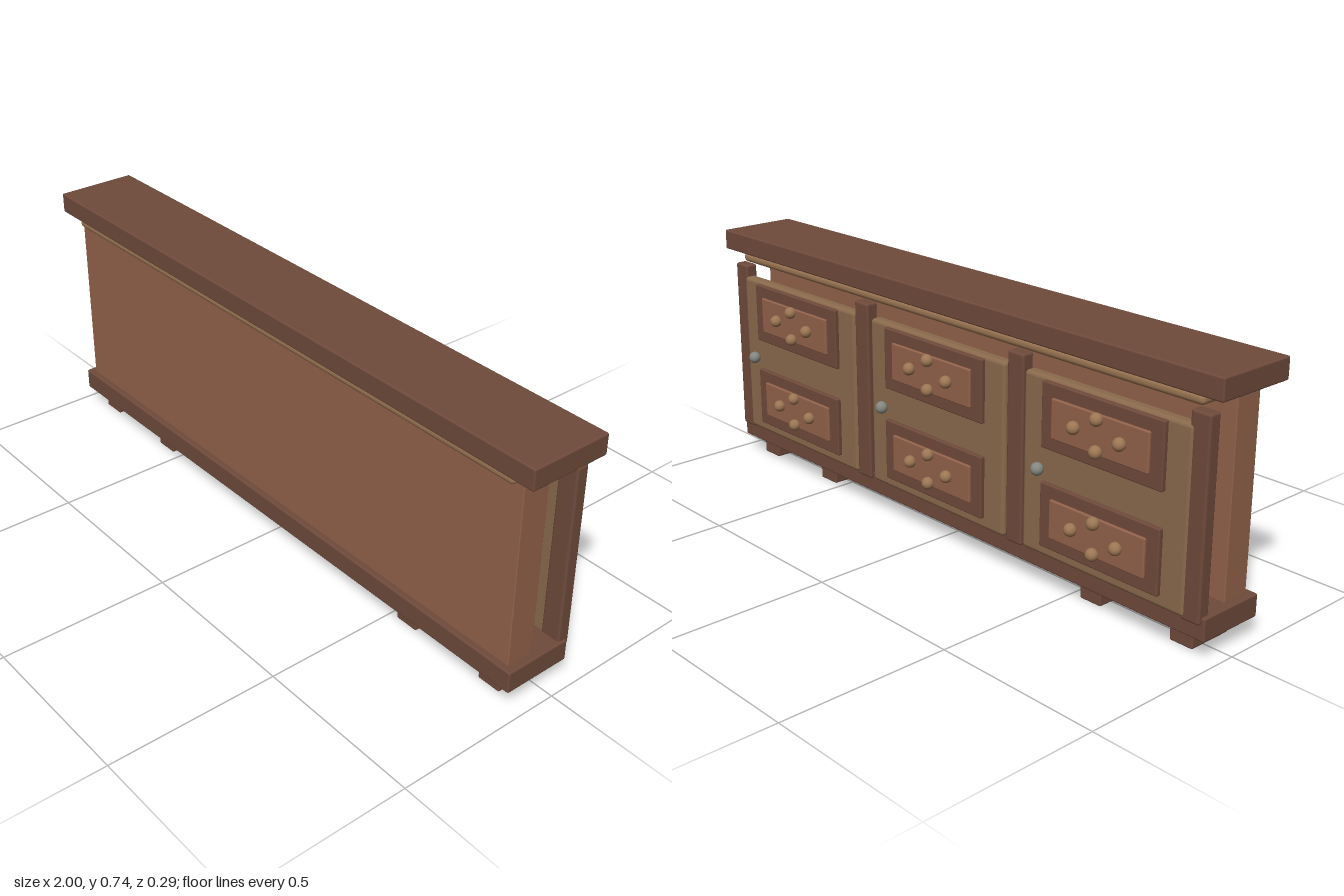
import * as THREE from 'three';
import { RoundedBoxGeometry } from 'three/addons/geometries/RoundedBoxGeometry.js';

const mat = (color) => new THREE.MeshStandardMaterial({ color });

export function createModel() {
  const model = new THREE.Group();
  model.name = 'counter';
  const dark = mat(0x6f4a3b), wood = mat(0x93624b), tan = mat(0x8a6a4c);
  const light = mat(0x9c7653), metal = mat(0x868680);

  // Box with softened edges, given by its extents on each axis
  function block(name, material, [x0, x1], [y0, y1], [z0, z1], radius = 0.005, parent = model) {
    const geometry = new RoundedBoxGeometry(x1 - x0, y1 - y0, z1 - z0, 3, radius);
    const mesh = new THREE.Mesh(geometry, material);
    mesh.position.set((x0 + x1) / 2, (y0 + y1) / 2, (z0 + z1) / 2);
    mesh.name = name;
    parent.add(mesh);
  }

  const knobGeometry = new THREE.SphereGeometry(0.018, 20, 14);
  function knob(name, material, x, y, z, parent) {
    const mesh = new THREE.Mesh(knobGeometry, material);
    mesh.position.set(x, y, z);
    mesh.name = name;
    parent.add(mesh);
  }

  // Carcass: top, moulding, front board and plinth
  block('counterTop', dark, [-1, 1], [0.683, 0.744], [-0.1, 0.147]);
  block('moulding', light, [-0.932, 0.926], [0.652, 0.683], [-0.085, 0.133], 0.014);
  block('frontBoard', wood, [-0.948, 0.942], [0.1, 0.677], [0.025, 0.11], 0.003);
  block('plinth', dark, [-0.972, 0.966], [0.055, 0.12], [-0.08, 0.128]);

  // Feet
  for (const x of [-0.876, -0.568, 0.562, 0.87]) {
    block('foot', dark, [x - 0.037, x + 0.037], [0, 0.06], [-0.047, 0.095]);
  }

  // Posts between and beside the doors
  for (const x of [-0.932, -0.32, 0.322, 0.93]) {
    block('post', dark, [x - 0.03, x + 0.03], [0.1, 0.643], [-0.091, -0.053], 0.007);
  }

  // Doors on the back, each with two raised panels
  for (const x of [-0.637, -0.005, 0.63]) {
    const door = new THREE.Group();
    door.name = 'door';
    model.add(door);
    block('doorBoard', tan, [x - 0.28, x + 0.28], [0.105, 0.607], [-0.095, -0.056], 0.012, door);
    for (const y of [0.23, 0.508]) {
      block('panel', dark, [x - 0.205, x + 0.202], [y - 0.091, y + 0.091], [-0.108, -0.092], 0.004, door);
      block('innerPanel', wood, [x - 0.165, x + 0.162], [y - 0.055, y + 0.055], [-0.115, -0.1], 0.004, door);
      // Four studs in a diamond
      for (const [dx, dy] of [[-0.077, 0], [0.077, 0], [0, 0.043], [0, -0.043]]) {
        knob('stud', light, x + dx, y + dy, -0.122, door);
      }
    }
    knob('doorKnob', metal, x + 0.193, 0.365, -0.129, door);
  }
  return model;
}
